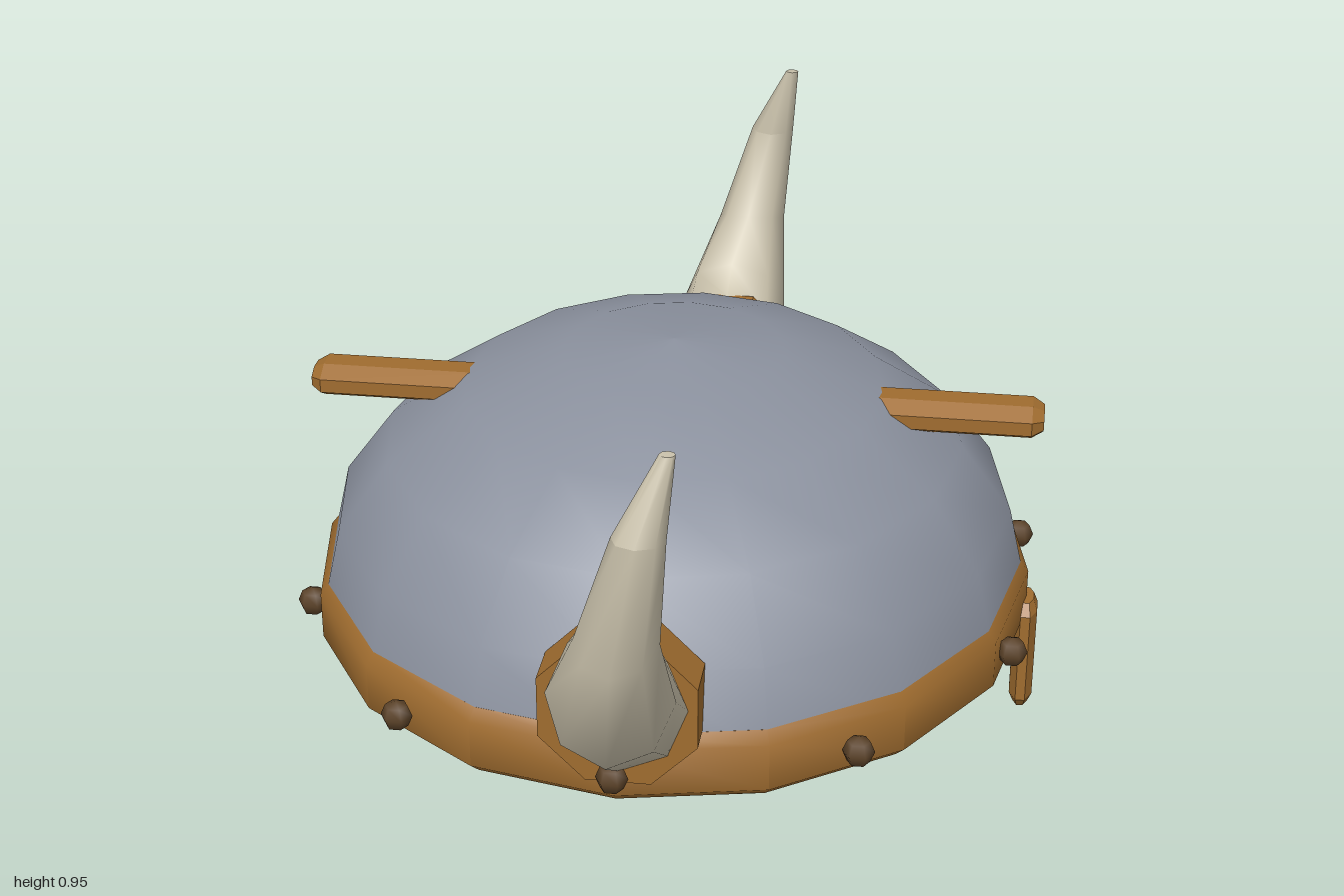
import * as THREE from 'three';
import { toCreasedNormals } from 'three/addons/utils/BufferGeometryUtils.js';

const CX = -0.006; // centre line of the bowl
const V = (x, y) => new THREE.Vector2(x, y);

const mat = (name, color) => {
  const m = new THREE.MeshStandardMaterial({ color });
  m.name = name;
  return m;
};

// Eight-sided bar with chamfered ends, standing along y; half widths a (x) and b (z)
function chamferedBar(length, a, b) {
  const h = length / 2, c = 0.022;
  const profile = [V(0, -h), V(0.65, -h), V(1, -h + c), V(1, h - c), V(0.65, h), V(0, h)];
  const k = 1 / Math.cos(Math.PI / 8);
  const geo = new THREE.LatheGeometry(profile, 8, Math.PI / 8).scale(a * k, 1, b * k);
  return toCreasedNormals(geo, 0.1);
}

// Loft through eight-sided rings given as [centre x, half width, outer y, outer z, inner y, inner z]
function hornLoft(rings, side) {
  const n = 8, pos = [], idx = [];
  const tri = (a, b, c) => (side > 0 ? idx.push(a, b, c) : idx.push(a, c, b));
  rings.forEach(([x, w, oy, oz, iy, iz], i) => {
    for (let j = 0; j < n; j++) {
      const t = (j / n) * Math.PI * 2, s = Math.sin(t);
      const y = (oy + iy) / 2 + (s * (iy - oy)) / 2;
      const z = (oz + iz) / 2 + (s * (iz - oz)) / 2;
      pos.push(x + Math.cos(t) * w, y, z * side);
      if (i === 0) continue;
      const a = (i - 1) * n + j, b = (i - 1) * n + ((j + 1) % n);
      tri(a, b, b + n);
      tri(a, b + n, a + n);
    }
  });
  // End cap
  const last = (rings.length - 1) * n;
  for (let j = 1; j < n - 1; j++) tri(last, last + j, last + j + 1);
  const geo = new THREE.BufferGeometry();
  geo.setAttribute('position', new THREE.Float32BufferAttribute(pos, 3));
  geo.setIndex(idx);
  return toCreasedNormals(geo, 1.1);
}

export function createModel() {
  const group = new THREE.Group();
  const steel = mat('steel', 0x8b919e);
  const leather = mat('leather', 0x9f6c2f);
  const bone = mat('bone', 0xc9c1ab);
  const iron = mat('darkIron', 0x5c4329);

  const add = (name, geo, material, x = 0, y = 0, z = 0) => {
    const mesh = new THREE.Mesh(geo, material);
    mesh.name = name;
    mesh.position.set(x, y, z);
    group.add(mesh);
    return mesh;
  };

  // Bowl: half ellipsoid in five rings
  const domeProfile = [];
  for (let i = 0; i <= 5; i++) {
    const t = (i * Math.PI) / 10;
    domeProfile.push(V(i === 5 ? 0 : Math.cos(t), 0.27 + 0.46 * Math.sin(t)));
  }
  add('dome', new THREE.LatheGeometry(domeProfile, 16).scale(0.68, 1, 0.725), steel, CX);

  // Rim band with closed underside
  const bandProfile = [V(0, 0.17), V(0.965, 0.17), V(1, 0.193), V(1, 0.283), V(0.975, 0.305), V(0.92, 0.305)];
  const band = new THREE.LatheGeometry(bandProfile, 16).scale(0.688, 1, 0.735);
  add('rimBand', toCreasedNormals(band, 0.85), leather, CX);

  // Ten studs around the rim
  for (let i = 0; i < 10; i++) {
    const a = ((i + 0.5) * Math.PI) / 5;
    add('stud', new THREE.SphereGeometry(0.029, 6, 4), iron,
      CX + 0.7 * Math.cos(a), 0.24, 0.75 * Math.sin(a));
  }

  // Crest bars on both sides and the nose guard
  for (const s of [-1, 1]) {
    const bar = add('crestBar', chamferedBar(0.36, 0.032, 0.057), leather, CX + s * 0.518, 0.612, 0);
    bar.rotation.z = Math.PI / 2;
  }
  add('noseGuard', chamferedBar(0.23, 0.022, 0.049), leather, 0.682, 0.115, 0);

  // Horns with collars
  const hornRings = [
    [0.005, 0.12, 0.245, 0.64, 0.5, 0.64],
    [0.005, 0.12, 0.245, 0.735, 0.505, 0.735],
    [0.008, 0.11, 0.35, 0.89, 0.56, 0.78],
    [0.035, 0.07, 0.59, 0.998, 0.645, 0.85],
    [0.075, 0.044, 0.82, 0.99, 0.815, 0.905],
  ];
  const tipRings = [hornRings[4], [0.117, 0.013, 0.955, 0.935, 0.955, 0.912]];
  for (const s of [-1, 1]) {
    add('horn', hornLoft(hornRings, s), bone);
    add('hornTip', hornLoft(tipRings, s), bone);
    const collar = new THREE.CylinderGeometry(0.15, 0.15, 0.088, 8, 1, false, Math.PI / 8);
    collar.rotateX(Math.PI / 2);
    add('hornCollar', toCreasedNormals(collar, 0.1), leather, 0.003, 0.365, s * 0.697);
  }
  return group;
}
